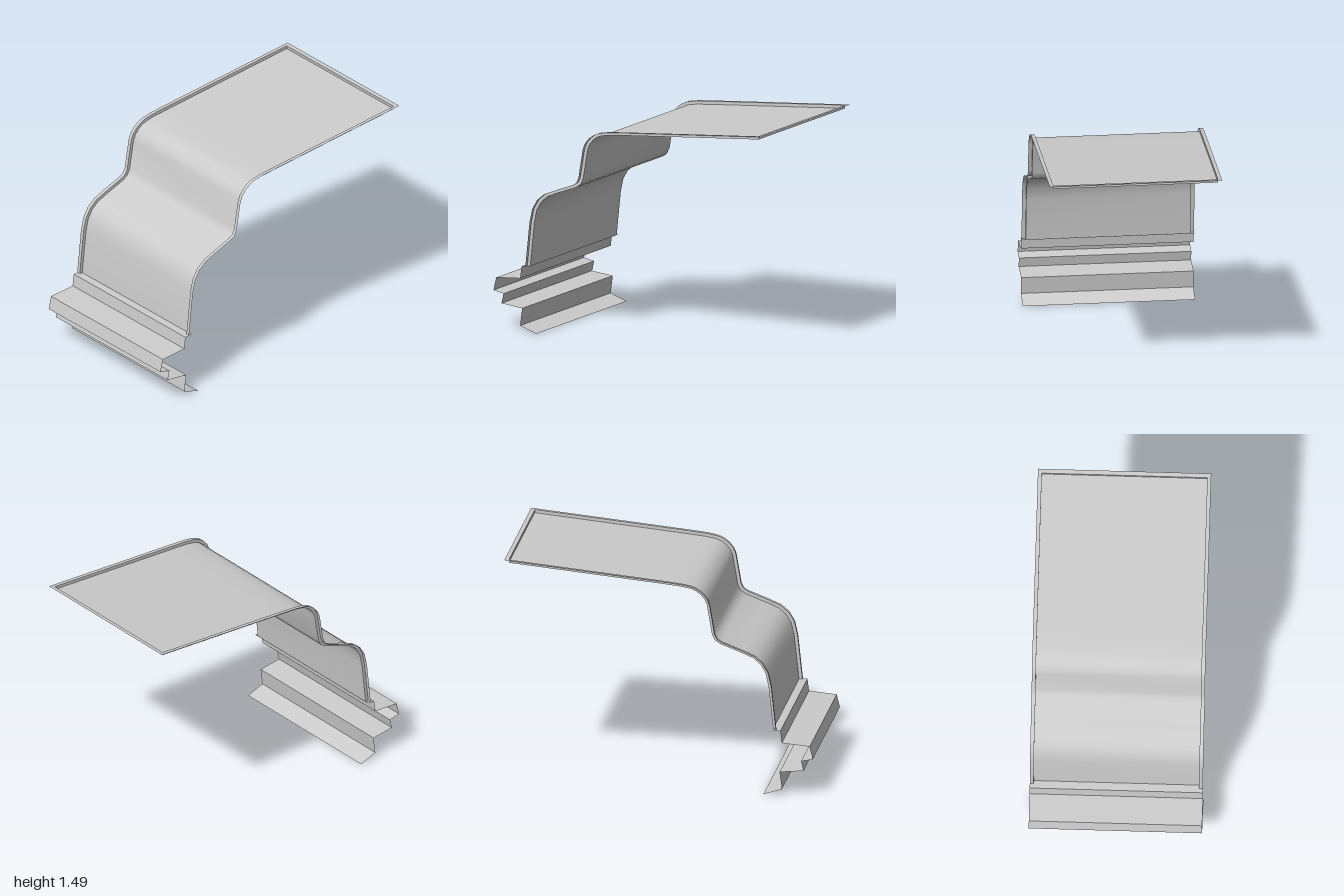
import * as THREE from 'three';
import { toCreasedNormals } from 'three/addons/utils/BufferGeometryUtils.js';

const HALF = 0.555;   // half width over the rim
const INNER = 0.53;   // half width of the recessed panel
const DEPTH = 0.021;  // recess depth

const material = new THREE.MeshStandardMaterial({ color: 0xcccccc, side: THREE.DoubleSide });

// Ruled surface between two rows of points; each row is a list of [x, y, z].
function strip(name, rowA, rowB, crease = 0.6) {
  const positions = [], index = [];
  rowA.forEach((a, i) => {
    positions.push(...a, ...rowB[i]);
    if (i > 0) {
      const k = 2 * i;
      index.push(k - 2, k - 1, k, k - 1, k + 1, k);
    }
  });
  const geometry = new THREE.BufferGeometry();
  geometry.setAttribute('position', new THREE.Float32BufferAttribute(positions, 3));
  geometry.setIndex(index);
  const mesh = new THREE.Mesh(toCreasedNormals(geometry, crease), material);
  mesh.name = name;
  return mesh;
}

// Place a [z, y] profile at a given x.
const at = (x, profile) => profile.map(([z, y]) => [x, y, z]);

// Offset a [z, y] profile inwards (down and back) with mitred corners.
function offset(profile, d) {
  const normal = (p, q) => {
    const v = new THREE.Vector2(q[0] - p[0], q[1] - p[1]).normalize();
    return new THREE.Vector2(-v.y, v.x);
  };
  return profile.map((p, i) => {
    const n1 = normal(profile[Math.max(i - 1, 0)], profile[Math.max(i, 1)]);
    const last = profile.length - 1;
    const n2 = normal(profile[Math.min(i, last - 1)], profile[Math.min(i + 1, last)]);
    const m = n1.clone().add(n2).normalize();
    const k = d / m.dot(n1);
    return [p[0] + m.x * k, p[1] + m.y * k];
  });
}

export function createModel() {
  const group = new THREE.Group();
  group.name = 'curvedCover';

  // Rim profile as [z, y], from the lower front edge to the upper back edge
  const rim = [
    [0.761, 0.434], [0.73, 0.725], [0.71, 0.816], [0.672, 0.88], [0.62, 0.923],
    [0.544, 0.955], [0.405, 1.008], [0.379, 1.026], [0.363, 1.058], [0.33, 1.253],
    [0.313, 1.294], [0.283, 1.33], [0.25, 1.354], [0.213, 1.37], [0.144, 1.383],
    [0.005, 1.397], [-0.972, 1.487],
  ];
  const bed = offset(rim, DEPTH);

  // Recessed main panel
  group.add(strip('mainPanel', at(-INNER, bed), at(INNER, bed)));

  // Side walls and side flanges
  group.add(strip('rightWall', at(-INNER, rim), at(-INNER, bed)));
  group.add(strip('leftWall', at(INNER, bed), at(INNER, rim)));
  group.add(strip('rightFlange', at(-HALF, rim), at(-INNER, rim)));
  group.add(strip('leftFlange', at(INNER, rim), at(HALF, rim)));

  // Back wall and back flange
  const end = rim[rim.length - 1];
  const backWall = [bed[bed.length - 1], end];
  const backFlange = [end, [-1, 1.49]];
  group.add(strip('backWall', at(-INNER, backWall), at(INNER, backWall)));
  group.add(strip('backFlange', at(-HALF, backFlange), at(HALF, backFlange)));

  // Stepped sill with its lower lip, as [z, y] from the bottom up
  const sill = [
    [0.68, 0], [0.8, 0.04], [0.785, 0.155], [0.94, 0.17], [0.925, 0.235],
    [1, 0.25], [0.98, 0.335], [0.8, 0.35], [0.79, 0.43], [0.738, 0.434],
  ];
  group.add(strip('steppedSill', at(-HALF, sill), at(HALF, sill), 0.1));

  return group;
}
